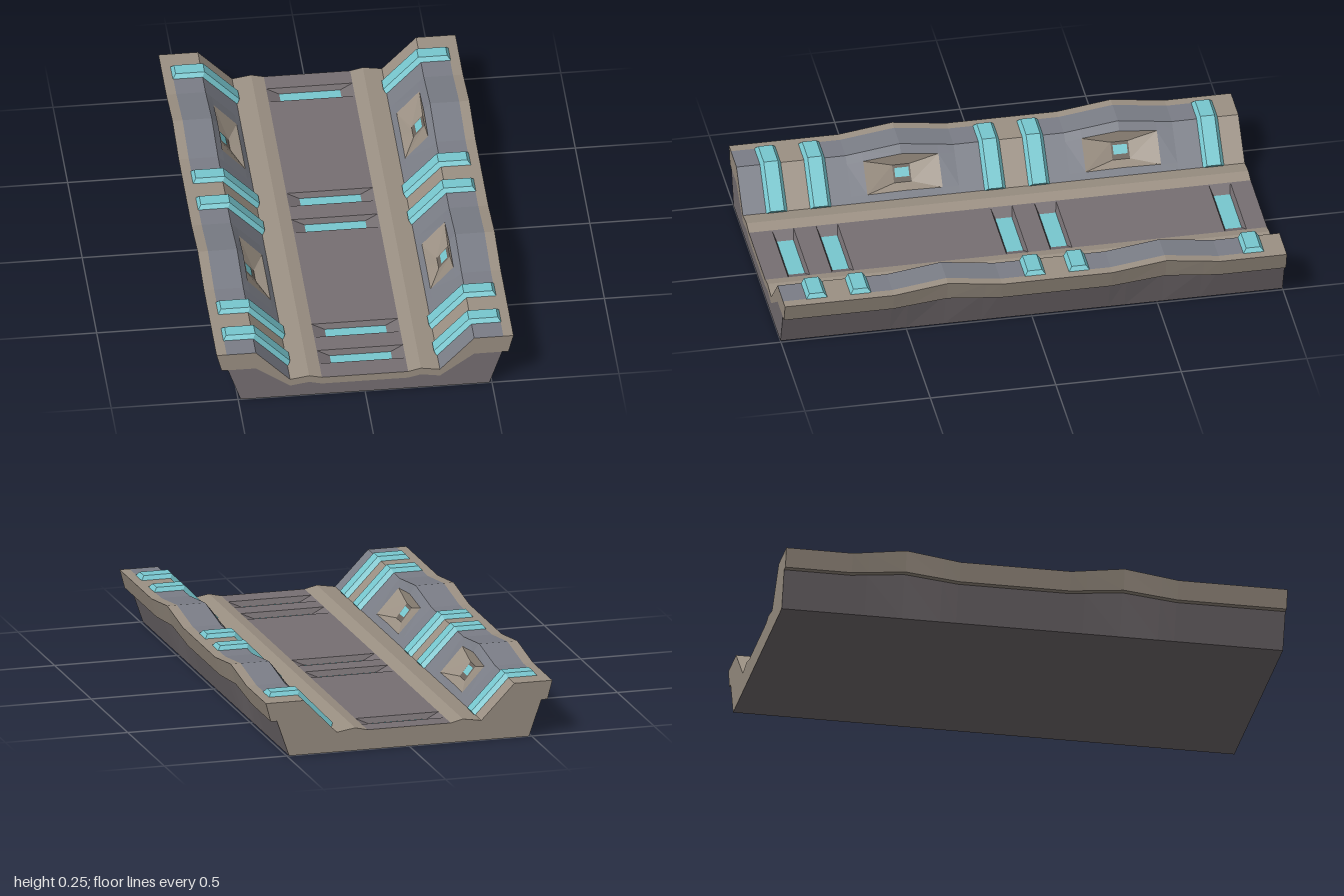
import * as THREE from 'three';

const BROWN = 0x9c9184, GREY = 0x777073, BLUE = 0x7b7e87, DARK = 0x6a625a, CYAN = 0x78c8d0;
const PEAKS = [0.35, -0.52];                         // swells of the banks, one niche each
const RIBS = [-0.875, -0.18, -0.005, 0.69, 0.865];   // ribs and floor slots
const SLOT = 0.043, NICHE = 0.15, SWELL = 0.215;
const BANDS = [[-1, -0.875], [-0.18, -0.005], [0.69, 0.865]]; // brown panels between ribs

// Half cross-section from the floor edge to the foot: x, y, share of the swell
const slopeAt = (x) => [x, 0.08 + 0.14 * (x - 0.295) / 0.135, (x - 0.295) / 0.135];
const PROFILE = [
  [0.17, 0.08, 0], [0.22, 0.092, 0], [0.295, 0.08, 0], slopeAt(0.315), slopeAt(0.405), [0.43, 0.22, 1],
  [0.545, 0.22, 1], [0.585, 0.22, 1], [0.565, 0.145, 0.75], [0.54, 0.145, 0.75], [0.49, 0, 0],
];
const STRIPS = ['kerb', 'kerb', 'bank', 'bank', 'bank', 'bank', 'rim', 'rim', 'rim', 'body'];
const COLORS = { kerb: BROWN, bank: BLUE, bankPanel: BROWN, rim: BROWN, body: GREY, floor: GREY,
  slotWalls: GREY, slotLight: CYAN, nicheWalls: BROWN, nicheBack: DARK, nicheLight: CYAN, rib: CYAN };

const v = (x, y, z) => new THREE.Vector3(x, y, z);
const swell = (z) => Math.max(...PEAKS.map((c) => 0.03 * Math.max(0, 1 - Math.abs(z - c) / SWELL)));
const at = ([x, y, k], z, s) => v(s * x, y + k * swell(z), z);

export function createModel() {
  const group = new THREE.Group();
  const parts = {};

  // Flat four-cornered face, turned to look along "out"
  function quad(part, a, b, c, d, out) {
    const n = c.clone().sub(a).cross(d.clone().sub(b));
    const p = n.dot(out) < 0 ? [a, d, c, b] : [a, b, c, d];
    const list = (parts[part] ??= []);
    for (const i of [0, 1, 2, 0, 2, 3]) list.push(p[i].x, p[i].y, p[i].z);
  }
  // Walls between two rings, looking at the centre
  function funnel(part, outer, inner, centre) {
    outer.forEach((p, i) => {
      const j = (i + 1) % outer.length;
      const mid = p.clone().add(outer[j]).add(inner[i]).add(inner[j]).multiplyScalar(0.25);
      quad(part, p, outer[j], inner[j], inner[i], centre.clone().sub(mid));
    });
  }

  // Stations along the length
  const stations = [-1, 1];
  RIBS.forEach((z) => stations.push(z - SLOT, z, z + SLOT));
  PEAKS.forEach((z) => stations.push(z - SWELL, z - NICHE, z, z + NICHE, z + SWELL));
  stations.sort((a, b) => a - b);

  // Long surfaces, leaving openings for the slots and niches
  for (let k = 0; k < stations.length - 1; k++) {
    const z0 = stations[k], z1 = stations[k + 1], zm = (z0 + z1) / 2;
    if (!RIBS.some((z) => Math.abs(z - zm) < SLOT))
      quad('floor', v(-0.17, 0.08, z0), v(0.17, 0.08, z0), v(0.17, 0.08, z1), v(-0.17, 0.08, z1), v(0, 1, 0));
    quad('body', v(-0.49, 0, z0), v(0.49, 0, z0), v(0.49, 0, z1), v(-0.49, 0, z1), v(0, -1, 0));
    for (const s of [1, -1]) STRIPS.forEach((name, i) => {
      if (i === 3 && PEAKS.some((z) => Math.abs(z - zm) < NICHE)) return;
      const a = PROFILE[i], b = PROFILE[i + 1];
      const panel = (name === 'bank') && BANDS.some(([p, q]) => zm > p && zm < q);
      quad(panel ? 'bankPanel' : name, at(a, z0, s), at(b, z0, s), at(b, z1, s), at(a, z1, s),
        v(s * (a[1] - b[1]), b[0] - a[0], 0));
    });
    // Flat outer run of the bank top
    if (k === 0) continue;
  }

  // Sunken lights in the floor
  for (const z of RIBS) {
    const ring = (x, y, w) => [v(-x, y, z - w), v(x, y, z - w), v(x, y, z + w), v(-x, y, z + w)];
    const inner = ring(0.12, 0.058, 0.033);
    funnel('slotWalls', ring(0.17, 0.08, SLOT), inner, v(0, 0.08, z));
    quad('slotLight', ...inner, v(0, 1, 0));
  }

  for (const s of [1, -1]) {
    const out = v(-s * 0.72, 0.69, 0);
    // Funnel-shaped niches in the banks
    for (const c of PEAKS) {
      const ring = (x0, x1, w, depth) => [[x0, -w], [x0, 0], [x0, w], [x1, w], [x1, 0], [x1, -w]].map(
        ([x, dz]) => (depth ? at(slopeAt(x), c, s).setZ(c + dz).addScaledVector(out, -depth) : at(slopeAt(x), c + dz, s)));
      const inner = ring(0.339, 0.383, 0.035, 0.03);
      funnel('nicheWalls', ring(0.315, 0.405, NICHE, 0), inner, at(slopeAt(0.36), c, s));
      quad('nicheBack', inner[0], inner[2], inner[3], inner[5], out);
      const light = ring(0.352, 0.375, 0.028, 0.028);
      quad('nicheLight', light[0], light[2], light[3], light[5], out);
    }
    // Bevelled ribs bent over the bank edge
    const base = [[0.548, 0.219], [0.43, 0.219], [0.293, 0.078]];
    const top = [[0.535, 0.236], [0.421, 0.236], [0.283, 0.092]];
    for (const z of RIBS) {
      const loops = base.map(([x, y], i) => [v(s * x, y, z - 0.042), v(s * top[i][0], top[i][1], z - 0.028),
        v(s * top[i][0], top[i][1], z + 0.028), v(s * x, y, z + 0.042)]);
      for (let i = 0; i < 2; i++) [v(0, 0, -1), i ? out : v(0, 1, 0), v(0, 0, 1)].forEach((dir, j) =>
        quad('rib', loops[i][j], loops[i][j + 1], loops[i + 1][j + 1], loops[i + 1][j], dir));
      quad('rib', ...loops[0], v(s, 0.5, 0));
      quad('rib', ...loops[2], v(-s, -0.5, 0));
    }
  }

  function addMesh(name, geometry, color) {
    const mesh = new THREE.Mesh(geometry, new THREE.MeshStandardMaterial({ color, flatShading: true }));
    mesh.name = name;
    group.add(mesh);
    return mesh;
  }
  for (const [name, list] of Object.entries(parts)) {
    const geometry = new THREE.BufferGeometry();
    geometry.setAttribute('position', new THREE.Float32BufferAttribute(list, 3));
    geometry.computeVertexNormals();
    addMesh(name, geometry, COLORS[name]);
  }

  // End caps: two-tone at the front, plain at the back
  const cap = (half) => new THREE.ShapeGeometry(new THREE.Shape(
    [...half, ...half.slice().reverse().map(([x, y]) => [-x, y])].map(([x, y]) => new THREE.Vector2(x, y))));
  const seam = [[0.17, 0.05], [0.22, 0.062], [0.295, 0.05], [0.43, 0.145], [0.54, 0.145]];
  addMesh('frontLowerCap', cap([...seam, [0.49, 0]]), GREY).position.z = 1;
  addMesh('frontUpperCap', cap([...PROFILE.slice(0, 10), ...seam.slice(0, 4).reverse()]), BROWN).position.z = 1;
  const back = addMesh('backCap', cap(PROFILE), BROWN);
  back.position.z = -1;
  back.rotation.y = Math.PI;
  return group;
}
